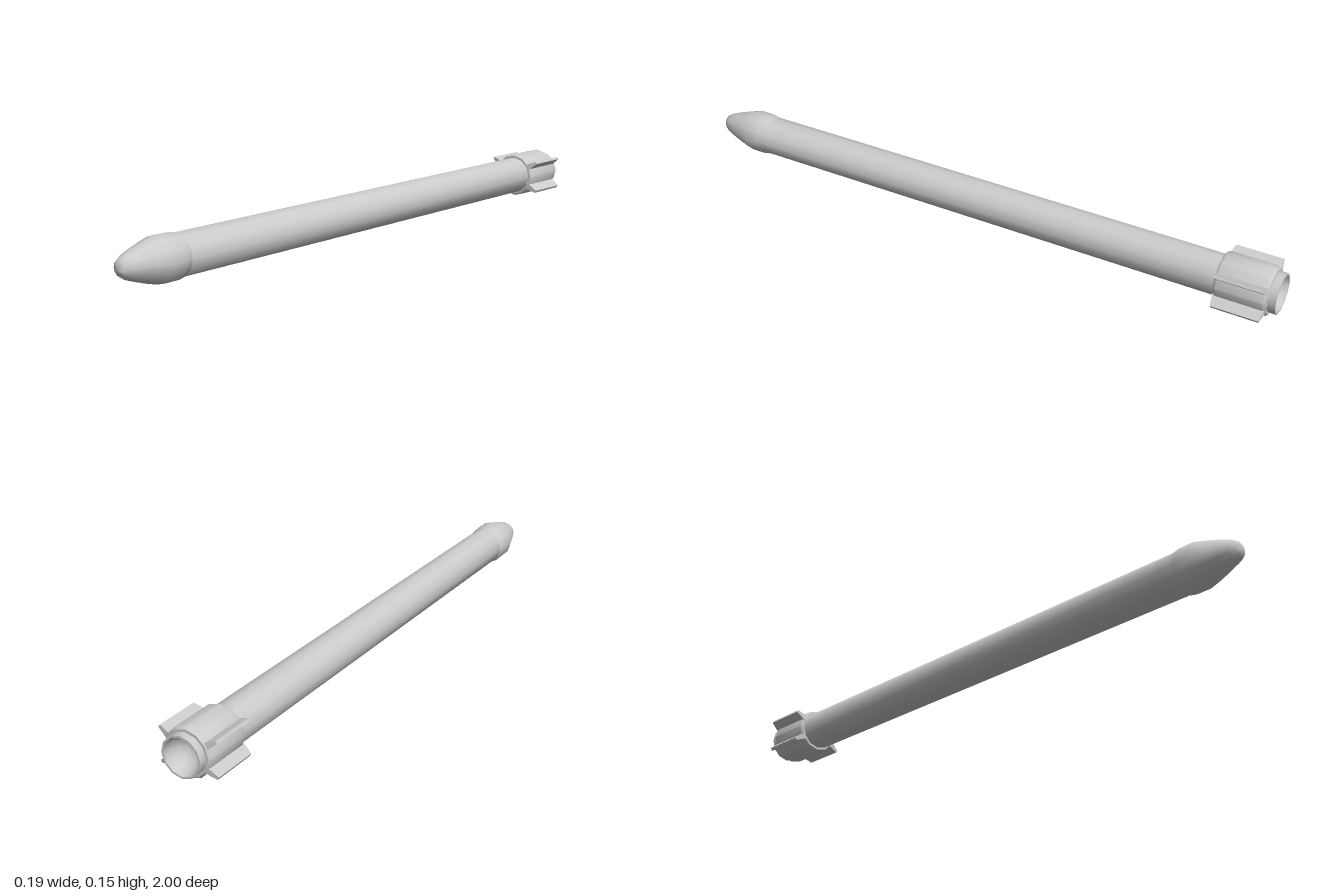
import * as THREE from 'three';
import { toCreasedNormals } from 'three/addons/utils/BufferGeometryUtils.js';

const SIDES = 12;
const AXIS_Y = 0.075;
const material = new THREE.MeshStandardMaterial({ color: 0xcccccc });

// Turned part along z from [radius, z] pairs, listed back to front on outer walls
function turned(name, profile) {
  const points = profile.map(([r, z]) => new THREE.Vector2(r, z));
  const geometry = new THREE.LatheGeometry(points, SIDES).rotateX(Math.PI / 2);
  const mesh = new THREE.Mesh(toCreasedNormals(geometry, 0.62), material);
  mesh.name = name;
  return mesh;
}

// Tapered fin pointing along +x, with chamfered outer corners
function finGeometry() {
  const back = -0.975, length = 0.16, middle = back + length / 2;
  const section = new THREE.Shape([
    new THREE.Vector2(0.06, -0.0115),
    new THREE.Vector2(0.105, -0.0045),
    new THREE.Vector2(0.105, 0.0045),
    new THREE.Vector2(0.06, 0.0115),
  ]);
  const geometry = new THREE.ExtrudeGeometry(section, { depth: length, bevelEnabled: false });
  geometry.translate(0, 0, back);
  const p = geometry.attributes.position;
  for (let i = 0; i < p.count; i++) {
    if (p.getX(i) > 0.09) p.setZ(i, middle + (p.getZ(i) - middle) * 0.9);
  }
  geometry.computeVertexNormals();
  return geometry;
}

export function createModel() {
  const model = new THREE.Group();
  model.name = 'rocket';
  const assembly = new THREE.Group();
  assembly.name = 'rocketAssembly';
  assembly.position.y = AXIS_Y;
  model.add(assembly);

  // Long tube
  assembly.add(turned('bodyTube', [[0.063, -0.9], [0.063, 0.82]]));

  // Nose with a slightly flared shoulder and a rounded tip
  assembly.add(turned('noseCone', [
    [0.063, 0.795], [0.068, 0.82], [0.068, 0.868], [0.058, 0.905],
    [0.045, 0.945], [0.034, 0.975], [0.024, 0.991], [0.012, 0.998], [0, 1],
  ]));

  // Tail collar with bevelled rims
  assembly.add(turned('tailCollar', [
    [0.058, -0.976], [0.07, -0.976], [0.075, -0.968],
    [0.075, -0.825], [0.07, -0.817], [0.06, -0.817],
  ]));

  // Nozzle: hollow bowl, thin rim, outer wall
  assembly.add(turned('nozzle', [
    [0, -0.94], [0.022, -0.943], [0.04, -0.957], [0.051, -0.977],
    [0.056, -1], [0.062, -1], [0.062, -0.96],
  ]));

  // Four fins in an X, closer to the horizontal
  const geometry = finGeometry();
  [30, 150, 210, 330].forEach((degrees, i) => {
    const fin = new THREE.Mesh(geometry, material);
    fin.name = `tailFin${i + 1}`;
    fin.rotation.z = THREE.MathUtils.degToRad(degrees);
    assembly.add(fin);
  });

  return model;
}
